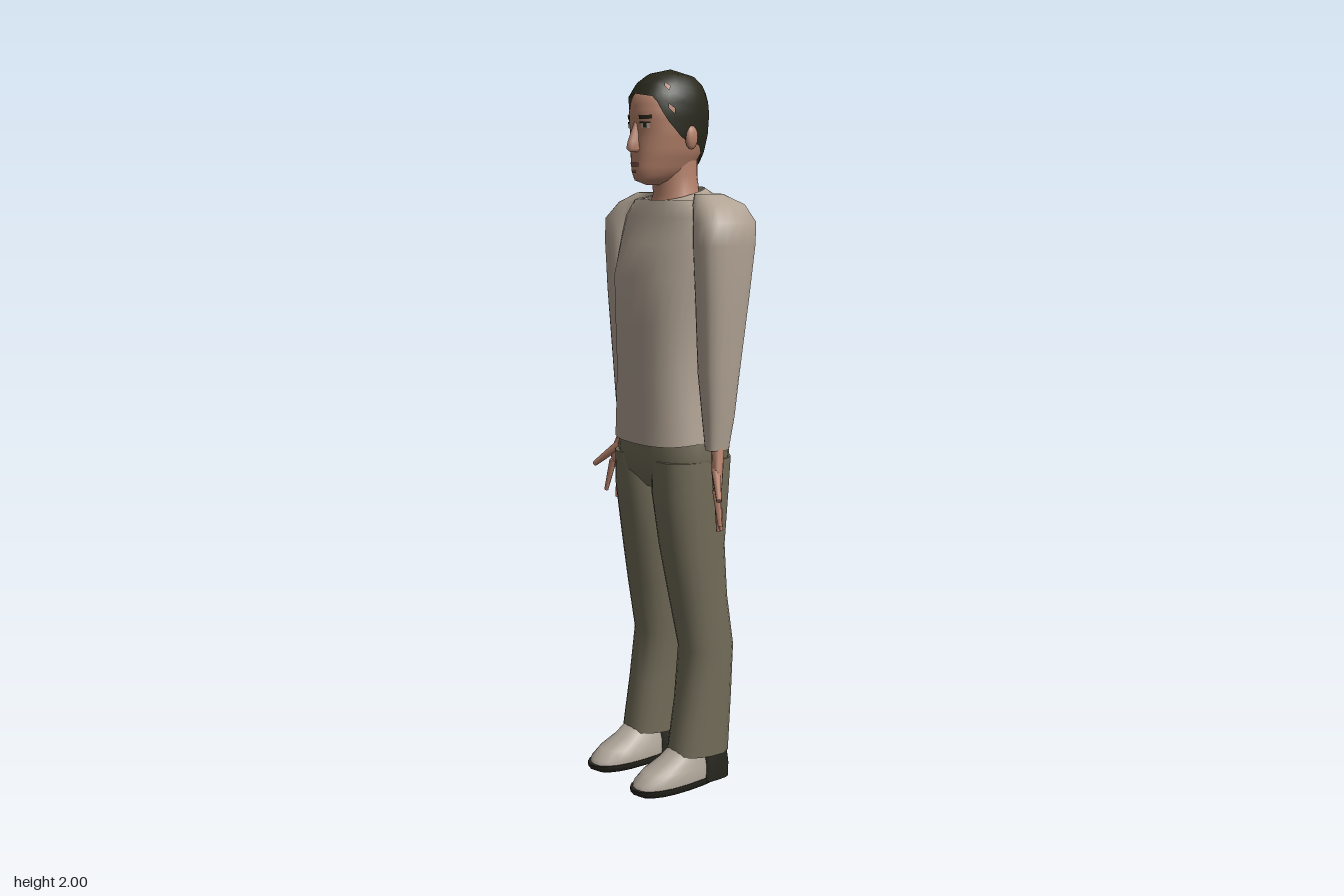
import * as THREE from 'three';

const mat = (name, color, side = THREE.FrontSide) => {
  const m = new THREE.MeshStandardMaterial({ color, side });
  m.name = name;
  return m;
};

// Point on a rounded cross-section; angle 0 faces the front, p < 1 squares it off
const ringPoint = (a, y, cx, rx, zf, zb, tilt = 0, p = 1) => {
  const pw = v => Math.sign(v) * Math.abs(v) ** p;
  const dz = (zf - zb) / 2 * pw(Math.cos(a));
  return new THREE.Vector3(cx + rx * pw(Math.sin(a)), y + tilt * dz, (zf + zb) / 2 + dz);
};

function build(pos, idx) {
  const g = new THREE.BufferGeometry();
  g.setAttribute('position', new THREE.Float32BufferAttribute(pos, 3));
  g.setIndex(idx);
  g.computeVertexNormals();
  return g;
}

// Skin over rows of [y, cx, rx, zFront, zBack, tilt], listed from the bottom up
function loft(rows, { n = 20, p = 1, bottom = true, top = true } = {}) {
  const pos = [], idx = [];
  const addRing = r => {
    for (let i = 0; i < n; i++) {
      pos.push(...ringPoint(i / n * Math.PI * 2, r[0], r[1], r[2], r[3], r[4], r[5], p).toArray());
    }
  };
  rows.forEach(addRing);
  for (let j = 0; j < rows.length - 1; j++) {
    for (let i = 0; i < n; i++) {
      const a = j * n + i, b = j * n + (i + 1) % n;
      idx.push(a, b, b + n, a, b + n, a + n);
    }
  }
  const cap = (r, up) => {
    const s = pos.length / 3;
    addRing(r);
    pos.push(r[1], r[0], (r[3] + r[4]) / 2);
    for (let i = 0; i < n; i++) {
      const a = s + i, b = s + (i + 1) % n;
      idx.push(s + n, up ? a : b, up ? b : a);
    }
  };
  if (bottom) cap(rows[0], false);
  if (top) cap(rows[rows.length - 1], true);
  return build(pos, idx);
}

// Linear lookup in rows keyed by their first value
function lookup(rows, t) {
  let i = 0;
  while (i < rows.length - 2 && t > rows[i + 1][0]) i++;
  const f = THREE.MathUtils.clamp((t - rows[i][0]) / (rows[i + 1][0] - rows[i][0]), 0, 1);
  return rows[i].map((v, k) => v + (rows[i + 1][k] - v) * f);
}

// Head profile: y, half width, front z, back z
const HEAD = [
  [1.695, 0.01, 0.05, 0.0], [1.705, 0.036, 0.082, -0.03], [1.73, 0.054, 0.09, -0.09],
  [1.78, 0.073, 0.088, -0.118], [1.83, 0.083, 0.085, -0.128], [1.88, 0.085, 0.09, -0.132],
  [1.92, 0.081, 0.083, -0.128], [1.955, 0.066, 0.06, -0.112], [1.978, 0.043, 0.028, -0.085],
  [1.99, 0, -0.03, -0.03],
];
const HEAD_CENTRE = new THREE.Vector3(0, 1.85, -0.03);

// Patch of the head surface between two heights, lifted outward by a scale
function headPatch(a0, a1, na, ny, lo, hi, lift, skip = () => false) {
  const pos = [], idx = [];
  for (let j = 0; j <= ny; j++) {
    for (let i = 0; i <= na; i++) {
      const a = a0 + (a1 - a0) * i / na;
      const y = lo(a) + (hi(a) - lo(a)) * j / ny;
      const [, rx, zf, zb] = lookup(HEAD, y);
      pos.push(...ringPoint(a, y, 0, rx, zf, zb, 0, 0.9)
        .sub(HEAD_CENTRE).multiplyScalar(1 + lift).add(HEAD_CENTRE).toArray());
      if (i < na && j < ny && !skip(i, j)) {
        const k = j * (na + 1) + i, m = k + na + 1;
        idx.push(k, k + 1, m + 1, k, m + 1, m);
      }
    }
  }
  return build(pos, idx);
}

// Tapered round finger between two points
function finger(from, to, r) {
  const a = new THREE.Vector3(...from), b = new THREE.Vector3(...to);
  const d = b.clone().sub(a);
  const g = new THREE.CylinderGeometry(r * 0.55, r, d.length(), 6);
  g.applyQuaternion(new THREE.Quaternion().setFromUnitVectors(new THREE.Vector3(0, 1, 0), d.normalize()));
  return g.translate(...a.add(b).multiplyScalar(0.5).toArray());
}

export function createModel() {
  const shirt = mat('shirt cloth', 0xb0a293, THREE.DoubleSide);
  const pants = mat('trouser cloth', 0x716b58, THREE.DoubleSide);
  const skin = mat('skin', 0xb5816a);
  const hair = mat('dark hair', 0x28281c, THREE.DoubleSide);
  const shoe = mat('shoe upper', 0xb0a69a);
  const sole = mat('shoe sole', 0x25241c);
  const lip = mat('lips', 0x7d5144);
  const white = mat('eye white', 0xb9ad9c);

  const model = new THREE.Group();
  model.name = 'standingMan';
  const add = (parent, name, geo, material) => {
    const m = new THREE.Mesh(geo, material);
    m.name = name;
    parent.add(m);
    return m;
  };

  // Sweater body, open at the sloping collar and the hem
  add(model, 'sweaterBody', loft([
    [1.005, 0, 0.17, 0.1, -0.162, -0.1], [1.1, 0, 0.158, 0.1, -0.143], [1.2, 0, 0.15, 0.1, -0.132],
    [1.32, 0, 0.156, 0.102, -0.14], [1.45, 0, 0.17, 0.1, -0.158], [1.54, 0, 0.188, 0.065, -0.168],
    [1.61, 0, 0.19, 0.04, -0.168], [1.655, 0, 0.145, 0.03, -0.148], [1.672, 0, 0.076, 0.022, -0.122, -0.25],
  ], { n: 28, p: 0.8, bottom: false, top: false }), shirt);

  // Trouser seat
  add(model, 'trouserSeat', loft([
    [0.86, 0, 0.1, 0.04, -0.11], [0.91, 0, 0.168, 0.08, -0.158],
    [0.96, 0, 0.174, 0.087, -0.168], [1.012, 0, 0.168, 0.088, -0.178, -0.17],
  ], { n: 24, p: 0.8 }), pants);

  // Neck and head
  add(model, 'neck', loft([
    [1.62, 0, 0.085, 0.028, -0.12], [1.67, 0, 0.066, 0.012, -0.112],
    [1.72, 0, 0.06, 0.02, -0.108], [1.76, 0, 0.06, 0.02, -0.108],
  ]), skin);
  const head = new THREE.Group();
  head.name = 'head';
  model.add(head);
  const PI = Math.PI;
  add(head, 'face', headPatch(-PI, PI, 36, 24, () => 1.695, () => 1.99, 0), skin);
  add(head, 'nose', loft([
    [1.782, 0, 0.012, 0.105, 0.05], [1.79, 0, 0.018, 0.117, 0.05],
    [1.81, 0, 0.013, 0.112, 0.05], [1.862, 0, 0.008, 0.09, 0.05],
  ], { n: 8 }), skin);

  // Short hair following a hairline, thin in a few places
  const line = [[0, 1.928], [0.7, 1.92], [1.1, 1.86], [1.5, 1.815], [2, 1.805], [2.5, 1.75], [3.15, 1.737]];
  add(head, 'hair', headPatch(-PI, PI, 40, 12, a => lookup(line, Math.abs(a))[1], () => 1.99, 0.07,
    (i, j) => j > 2 && j < 10 && (i * 7 + j * 11) % 37 === 0), hair);

  // Face details as thin patches
  const detail = (name, a, wide, y, tall, material, lift) => add(head, name,
    headPatch(a - wide, a + wide, 6, 2, () => y - tall, () => y + tall, lift), material);
  detail('mouth', 0, 0.26, 1.752, 0.005, lip, 0.025);
  detail('chinBeard', 0, 0.13, 1.733, 0.003, lip, 0.025);
  for (const s of [-1, 1]) {
    detail('eyebrow', s * 0.42, 0.22, 1.872, 0.005, hair, 0.025);
    detail('eyeWhite', s * 0.4, 0.15, 1.85, 0.006, white, 0.02);
    detail('iris', s * 0.4, 0.06, 1.851, 0.006, hair, 0.03);
    detail('upperLid', s * 0.4, 0.18, 1.858, 0.002, hair, 0.03);
  }

  // Everything paired is built on the left and mirrored
  for (const s of [1, -1]) {
    const side = new THREE.Group();
    side.name = s > 0 ? 'leftSide' : 'rightSide';
    side.scale.x = s;
    model.add(side);

    const ear = add(side, 'ear', new THREE.SphereGeometry(1, 10, 8), skin);
    ear.scale.set(0.011, 0.032, 0.02);
    ear.position.set(0.086, 1.82, -0.035);

    add(side, 'sleeve', loft([
      [0.99, 0.203, 0.024, -0.002, -0.07], [1.08, 0.203, 0.035, 0.006, -0.085],
      [1.2, 0.2, 0.046, 0.015, -0.1], [1.4, 0.205, 0.053, 0.028, -0.125],
      [1.54, 0.205, 0.056, 0.036, -0.145], [1.6, 0.203, 0.057, 0.034, -0.148],
      [1.645, 0.17, 0.052, 0.01, -0.135], [1.672, 0.13, 0.03, -0.02, -0.1],
    ], { p: 0.8 }), shirt);

    // Hand with a slanted palm and spread fingers
    const palm = add(side, 'palm', loft([
      [-0.065, 0.005, 0.035, 0.011, -0.011], [-0.03, 0.004, 0.04, 0.014, -0.014],
      [0.01, 0, 0.033, 0.016, -0.016], [0.06, -0.01, 0.02, 0.018, -0.018], [0.1, -0.012, 0.02, 0.018, -0.018],
    ], { n: 12 }), skin);
    palm.position.set(0.217, 0.935, -0.027);
    palm.rotation.y = -0.65;
    [
      ['thumb', [0.225, 0.94, -0.015], [0.295, 0.873, 0.03], 0.014],
      ['indexFinger', [0.243, 0.89, -0.002], [0.27, 0.795, 0.005], 0.011],
      ['middleFinger', [0.23, 0.885, -0.017], [0.246, 0.776, -0.018], 0.011],
      ['ringFinger', [0.214, 0.885, -0.03], [0.219, 0.765, -0.03], 0.011],
      ['littleFinger', [0.199, 0.89, -0.045], [0.186, 0.785, -0.055], 0.01],
    ].forEach(([name, a, b, r]) => add(side, name, finger(a, b, r), skin));

    add(side, 'trouserLeg', loft([
      [0.09, 0.11, 0.066, 0.046, -0.142, 0.08], [0.25, 0.11, 0.066, 0.02, -0.15],
      [0.4, 0.106, 0.069, 0.001, -0.157], [0.55, 0.099, 0.075, 0.028, -0.136],
      [0.7, 0.091, 0.082, 0.054, -0.13], [0.85, 0.088, 0.087, 0.077, -0.145],
      [0.95, 0.088, 0.084, 0.08, -0.155],
    ], { p: 0.85 }), pants);

    // Shoe: pale upper, dark heel counter and sole
    add(side, 'shoeUpper', loft([
      [0.015, 0.107, 0.063, 0.172, -0.115], [0.035, 0.107, 0.064, 0.168, -0.115],
      [0.06, 0.107, 0.06, 0.135, -0.115], [0.085, 0.108, 0.052, 0.08, -0.115], [0.12, 0.11, 0.045, 0.03, -0.11],
    ], { p: 0.85 }), shoe);
    add(side, 'shoeSole', loft([
      [0, 0.107, 0.056, 0.16, -0.12], [0.01, 0.107, 0.065, 0.178, -0.128], [0.024, 0.107, 0.065, 0.18, -0.128],
    ], { p: 0.85 }), sole);
    add(side, 'shoeHeel', loft([
      [0.01, 0.108, 0.066, -0.02, -0.13], [0.05, 0.108, 0.066, -0.025, -0.13], [0.1, 0.109, 0.058, -0.03, -0.125],
    ], { p: 0.55 }), sole);
  }
  return model;
}
